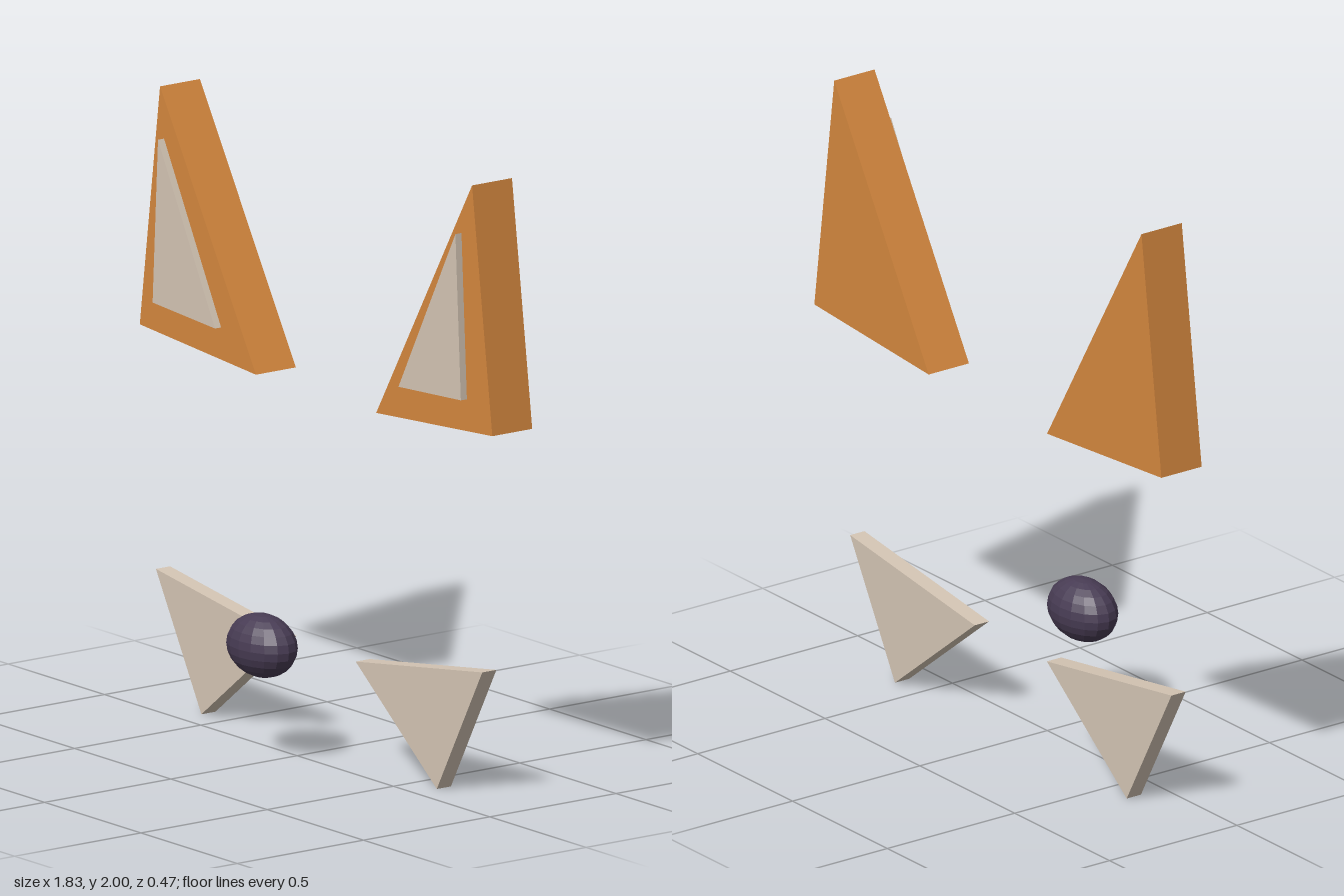
import * as THREE from 'three';

export function createModel() {
  const flat = (name, color) => {
    const m = new THREE.MeshStandardMaterial({ color, flatShading: true });
    m.name = name;
    return m;
  };
  const orange = flat('orange fur', 0xd4873e);
  const cream = flat('cream fur', 0xd4c5b4);
  const dark = flat('dark nose', 0x483c54);

  const model = new THREE.Group();
  model.name = 'animalFace';

  // Triangular prism between two depths, given its corners on the +x side
  const prism = (name, side, corners, back, front, material) => {
    const shape = new THREE.Shape(corners.map(([x, y]) => new THREE.Vector2(side * x, y)));
    const geometry = new THREE.ExtrudeGeometry(shape, { depth: front - back, bevelEnabled: false });
    geometry.translate(0, 0, back);
    const mesh = new THREE.Mesh(geometry, material);
    mesh.name = name;
    model.add(mesh);
  };

  // Mirrored ears, inner ears and cheeks
  for (const [label, side] of [['left', 1], ['right', -1]]) {
    prism(label + 'Ear', side, [[0.81, 2], [0.915, 1.207], [0.312, 1.163]], -0.233, -0.075, orange);
    prism(label + 'InnerEar', side, [[0.772, 1.84], [0.8, 1.306], [0.476, 1.286]], -0.062, -0.038, cream);
    prism(label + 'Cheek', side, [[0.847, 0.425], [0.19, 0.33], [0.611, 0]], -0.143, -0.087, cream);
  }

  // Faceted oval nose
  const nose = new THREE.Mesh(new THREE.SphereGeometry(1, 16, 12), dark);
  nose.name = 'nose';
  nose.scale.set(0.14, 0.102, 0.094);
  nose.position.set(0, 0.38, 0.139);
  model.add(nose);

  return model;
}
